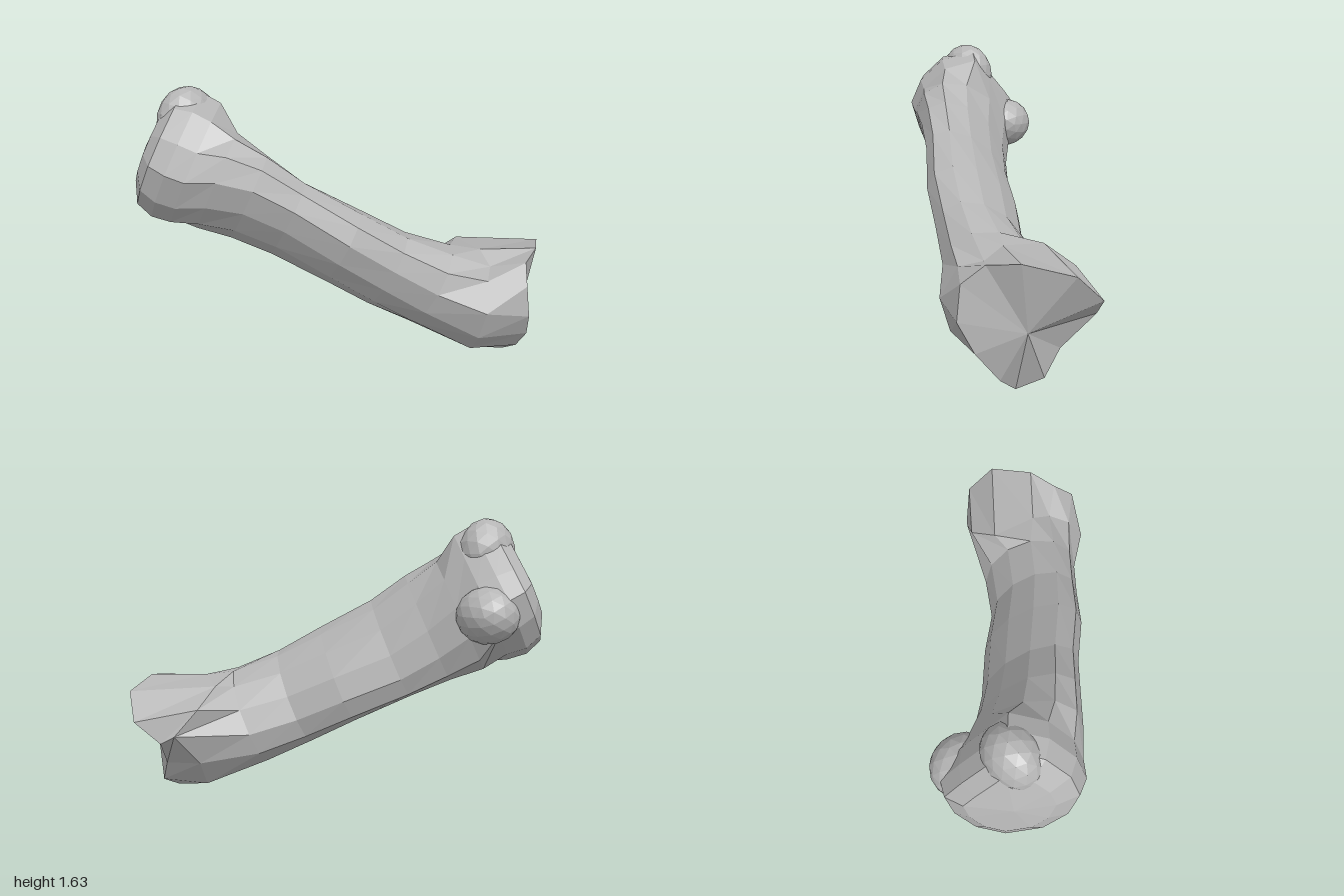
import * as THREE from 'three';

const SIDES = 12;
// Bone axes: D runs along the shaft, U sideways, V up out of the shaft
const D = new THREE.Vector3(0.637, -0.415, 0.646).normalize();
const U = new THREE.Vector3(0.712, 0, -0.702).normalize();
const V = new THREE.Vector3().crossVectors(D, U);
const at = (s, a, b) => new THREE.Vector3(0, 0.8, 0)
  .addScaledVector(D, s).addScaledVector(U, a).addScaledVector(V, b);

// Slanted ellipse: position, centre a/b, half sizes, slant
function ellipse([s, ca, cb, ha, hb, k]) {
  return Array.from({ length: SIDES }, (_, j) => {
    const t = (j / SIDES) * Math.PI * 2, c = Math.cos(t), n = Math.sin(t);
    return at(s, ca + 1.02 * ha * c, cb + 1.02 * hb * (k * c + Math.sqrt(1 - k * k) * n));
  });
}

// Skin a list of rings and close both ends with a fan
function loft(rings, startPoint, endPoint) {
  const pos = [], index = [];
  rings.flat().concat(startPoint, endPoint).forEach(p => pos.push(p.x, p.y, p.z));
  const first = rings.length * SIDES, last = first + 1;
  for (let j = 0; j < SIDES; j++) {
    const n = (j + 1) % SIDES;
    for (let i = 0; i < rings.length - 1; i++) {
      const p = i * SIDES, q = p + SIDES;
      index.push(p + j, p + n, q + j, p + n, q + n, q + j);
    }
    const e = (rings.length - 1) * SIDES;
    index.push(first, n, j, last, e + j, e + n);
  }
  const g = new THREE.BufferGeometry();
  g.setAttribute('position', new THREE.Float32BufferAttribute(pos, 3));
  g.setIndex(index);
  g.computeVertexNormals();
  return g;
}

export function createModel() {
  const model = new THREE.Group();
  model.name = 'bone';
  const boneGrey = new THREE.MeshStandardMaterial({ color: 0xb4b4b4, flatShading: true });
  boneGrey.name = 'bone grey';

  const add = (name, geometry) => {
    const mesh = new THREE.Mesh(geometry, boneGrey);
    mesh.name = name;
    model.add(mesh);
  };

  // Upper head: one uneven outline, repeated at several positions and sizes
  const headOutline = [
    [0.34, -0.06], [0.24, 0.08], [0.11, 0.24], [0, 0.38], [-0.2, 0.32], [-0.34, 0.17],
    [-0.4, 0], [-0.345, -0.19], [-0.21, -0.345], [0, -0.42], [0.17, -0.36], [0.29, -0.22],
  ];
  const head = [[-1.22, 0.62], [-1.16, 0.91], [-1.06, 1], [-0.95, 0.97]]
    .map(([s, k]) => headOutline.map(([a, b]) => at(s, a * k, b * k)));

  // Shaft sections, upper to lower
  const shaft = [
    [-0.8, -0.07, -0.05, 0.31, 0.335, -0.35],
    [-0.6, -0.09, -0.055, 0.28, 0.315, -0.5],
    [-0.35, -0.1, -0.08, 0.265, 0.29, -0.56],
    [0, -0.115, -0.095, 0.28, 0.28, -0.48],
    [0.3, -0.12, -0.115, 0.258, 0.275, -0.4],
    [0.58, -0.09, -0.11, 0.28, 0.285, -0.27],
  ].map(ellipse);

  // Flare of the lower end, then the rim of its joint face
  const flare = [
    [0.84, 0.4, 0.37], [0.72, 0.55, 0.31], [0.56, 0.66, 0.37], [0.47, 0.69, 0.62],
    [0.43, 0.63, 0.73], [0.32, 0.6, 0.8], [0.25, 0.44, 0.86], [0.27, 0.25, 0.8],
    [0.36, 0.09, 0.68], [0.49, 0.01, 0.6], [0.58, 0.06, 0.45], [0.68, 0.22, 0.36],
  ];
  const rim = [
    [0.9, 0.36, 0.42], [1, 0.48, 0.54], [0.94, 0.63, 0.7], [0.72, 0.69, 0.84],
    [0.55, 0.67, 0.89], [0.46, 0.58, 0.97], [0.46, 0.4, 1], [0.53, 0.24, 0.95],
    [0.6, 0.08, 0.84], [0.62, 0, 0.73], [0.75, 0.07, 0.67], [0.78, 0.2, 0.57],
  ];
  const lower = [flare, rim].map(r => r.map(p => new THREE.Vector3(...p)));
  add('shaft and joint ends', loft([...head, ...shaft, ...lower],
    at(-1.245, -0.04, -0.03), new THREE.Vector3(0.72, 0.33, 0.78)));

  // Rounded lumps on the upper head
  const lump = (name, [x, y, z], [rx, ry, rz]) => {
    const g = new THREE.IcosahedronGeometry(1, 2);
    g.scale(rx, ry, rz);
    g.translate(x, y, z);
    add(name, g);
  };
  lump('upper tubercle', [-0.65, 1.43, -0.62], [0.18, 0.2, 0.15]);
  lump('side knob', [-0.46, 1.1, -0.8], [0.17, 0.16, 0.18]);
  return model;
}
